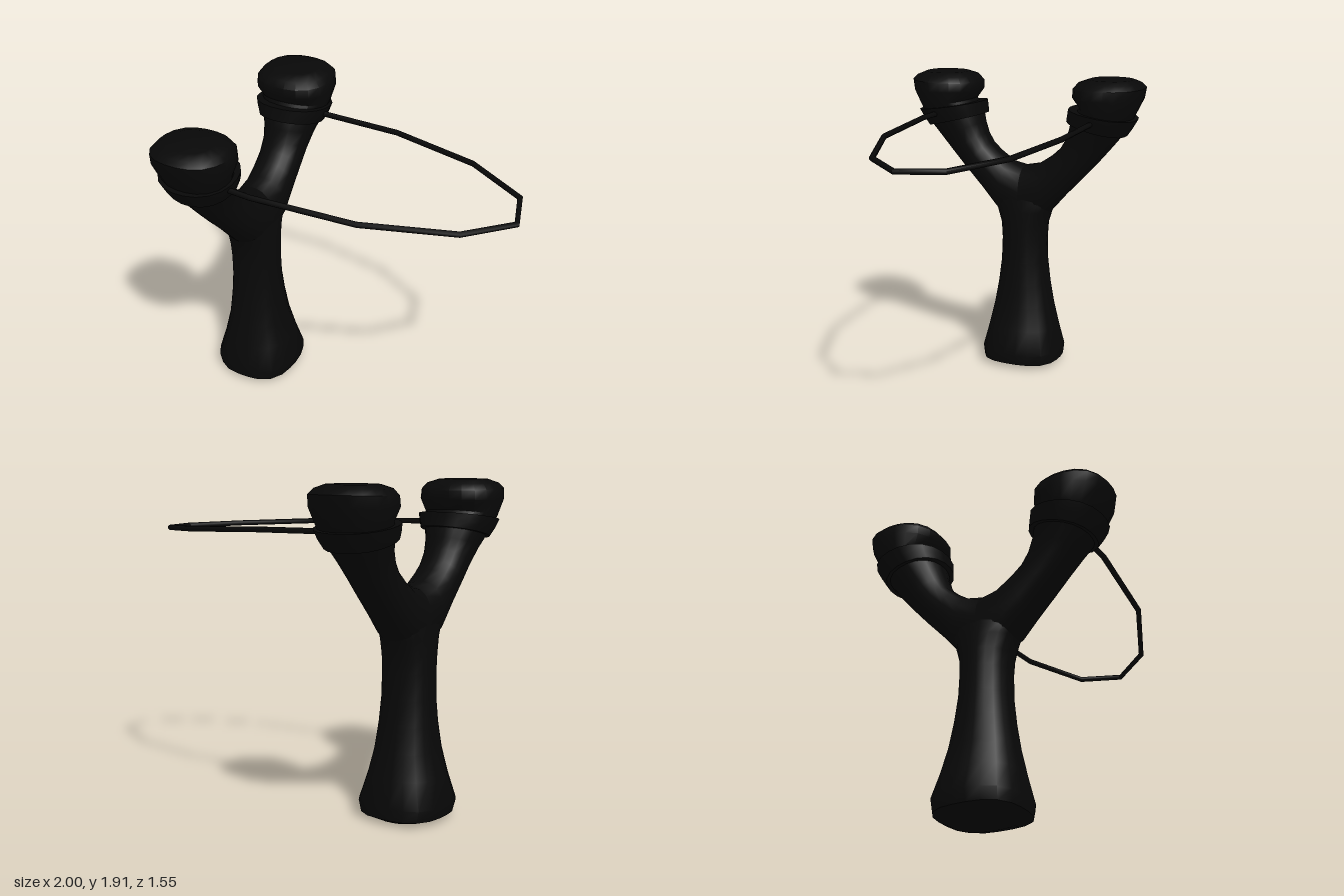
import * as THREE from 'three';
import { toCreasedNormals } from 'three/addons/utils/BufferGeometryUtils.js';

const SIDES = 20;
const CX = -0.74; // x of the handle and fork plane
const V = (x, y, z) => new THREE.Vector3(x, y, z);

// Closed ring around c spanned by half-axes u and v; a higher power is squarer
function ring(c, u, v, power = 2, sides = SIDES) {
  const pts = [];
  for (let i = 0; i < sides; i++) {
    const a = ((i + 0.5) / sides) * Math.PI * 2;
    const co = Math.cos(a), si = Math.sin(a);
    const k = Math.pow(Math.pow(Math.abs(co), power) + Math.pow(Math.abs(si), power), -1 / power);
    pts.push(c.clone().addScaledVector(u, co * k).addScaledVector(v, si * k));
  }
  return pts;
}

// Skin over successive rings, closed with a fan at each end
function loft(rings, crease = 0.7) {
  const n = rings[0].length, last = rings.length - 1;
  const pts = rings.flat();
  const index = [];
  for (let j = 0; j < last; j++) {
    for (let i = 0; i < n; i++) {
      const a = j * n + i, b = j * n + (i + 1) % n;
      index.push(a, b, b + n, a, b + n, a + n);
    }
  }
  for (const [j, flip] of [[0, true], [last, false]]) {
    const centre = pts.length;
    pts.push(rings[j].reduce((s, p) => s.add(p), V(0, 0, 0)).divideScalar(n));
    for (let i = 0; i < n; i++) {
      const a = j * n + i, b = j * n + (i + 1) % n;
      index.push(centre, flip ? b : a, flip ? a : b);
    }
  }
  const g = new THREE.BufferGeometry().setFromPoints(pts);
  g.setIndex(index);
  return toCreasedNormals(g, crease);
}

// Rings of a fork arm from [inner z, inner y, outer z, outer y, half width in x, power]
const armRings = (sections, side) => sections.map(([iz, iy, oz, oy, w, p]) => {
  const c = V(CX, (iy + oy) / 2, side * (iz + oz) / 2);
  return ring(c, V(CX, oy, side * oz).sub(c), V(side * w, 0, 0), p);
});

export function createModel() {
  const group = new THREE.Group();
  group.name = 'slingshot';
  const material = new THREE.MeshStandardMaterial({ color: 0x080808 });
  const add = (name, geometry) => {
    const mesh = new THREE.Mesh(geometry, material);
    mesh.name = name;
    group.add(mesh);
  };

  // Flared handle: [y, half width x, half depth z, power]
  const handle = [
    [0, 0.14, 0.19, 2.6], [0.03, 0.24, 0.25, 2.8], [0.1, 0.26, 0.255, 2.8],
    [0.25, 0.215, 0.222, 2.6], [0.4, 0.18, 0.19, 2.5], [0.55, 0.163, 0.165, 2.4],
    [0.7, 0.153, 0.148, 2.3], [0.85, 0.152, 0.143, 2.3], [0.95, 0.154, 0.15, 2.3],
    [1.04, 0.151, 0.18, 2.3], [1.13, 0.144, 0.235, 2.3], [1.22, 0.13, 0.2, 2.3],
  ];
  add('handle', loft(handle.map(([y, w, d, p]) => ring(V(CX, y, 0), V(0, 0, d), V(w, 0, 0), p))));

  // Fork arms swelling into rounded heads
  const arm = [
    [0, 1.33, 0, 0.95, 0.145, 2.3], [0.1, 1.35, 0.18, 1.04, 0.142, 2.3],
    [0.19, 1.41, 0.28, 1.155, 0.136, 2.3], [0.245, 1.46, 0.4, 1.28, 0.135, 2.2],
    [0.28, 1.52, 0.5, 1.39, 0.138, 2.2], [0.305, 1.59, 0.585, 1.49, 0.155, 2.2],
    [0.325, 1.67, 0.67, 1.595, 0.19, 2.2], [0.38, 1.74, 0.71, 1.68, 0.215, 2.3],
    [0.335, 1.8, 0.765, 1.795, 0.24, 2.4], [0.335, 1.853, 0.777, 1.863, 0.235, 2.4],
    [0.365, 1.89, 0.75, 1.892, 0.205, 2.4], [0.43, 1.913, 0.7, 1.913, 0.14, 2.4],
  ];
  // Tilted bands wrapped below each head
  const band = [
    [0.29, 1.65, 0.67, 1.56, 0.2, 2.2], [0.298, 1.69, 0.705, 1.612, 0.222, 2.2],
    [0.305, 1.73, 0.735, 1.665, 0.236, 2.2],
  ];
  for (const [side, label] of [[1, 'front'], [-1, 'back']]) {
    add(label + 'Arm', loft(armRings(arm, side)));
    add(label + 'Band', loft(armRings(band, side)));
  }

  // Elastic cord looping between the arms: [x, z], drooping towards its far end
  const path = [
    [-0.62, -0.505], [-0.02, -0.517], [0.52, -0.43], [0.895, -0.23], [0.982, 0.03],
    [0.76, 0.285], [0.25, 0.495], [-0.38, 0.558], [-0.62, 0.545],
  ].map(([x, z]) => V(x, x < 0 ? 1.645 - 0.02 * x : 1.645 - 0.05 * x, z));
  const up = V(0, 1, 0), r = 0.017;
  const cord = path.map((p, i) => {
    const before = p.clone().sub(path[Math.max(i - 1, 0)]).normalize();
    const after = path[Math.min(i + 1, path.length - 1)].clone().sub(p).normalize();
    const t = before.add(after).normalize();
    return ring(p, up.clone().cross(t).normalize().multiplyScalar(r), V(0, r, 0), 2, 8);
  });
  add('elasticCord', loft(cord, 0.9));

  return group;
}
